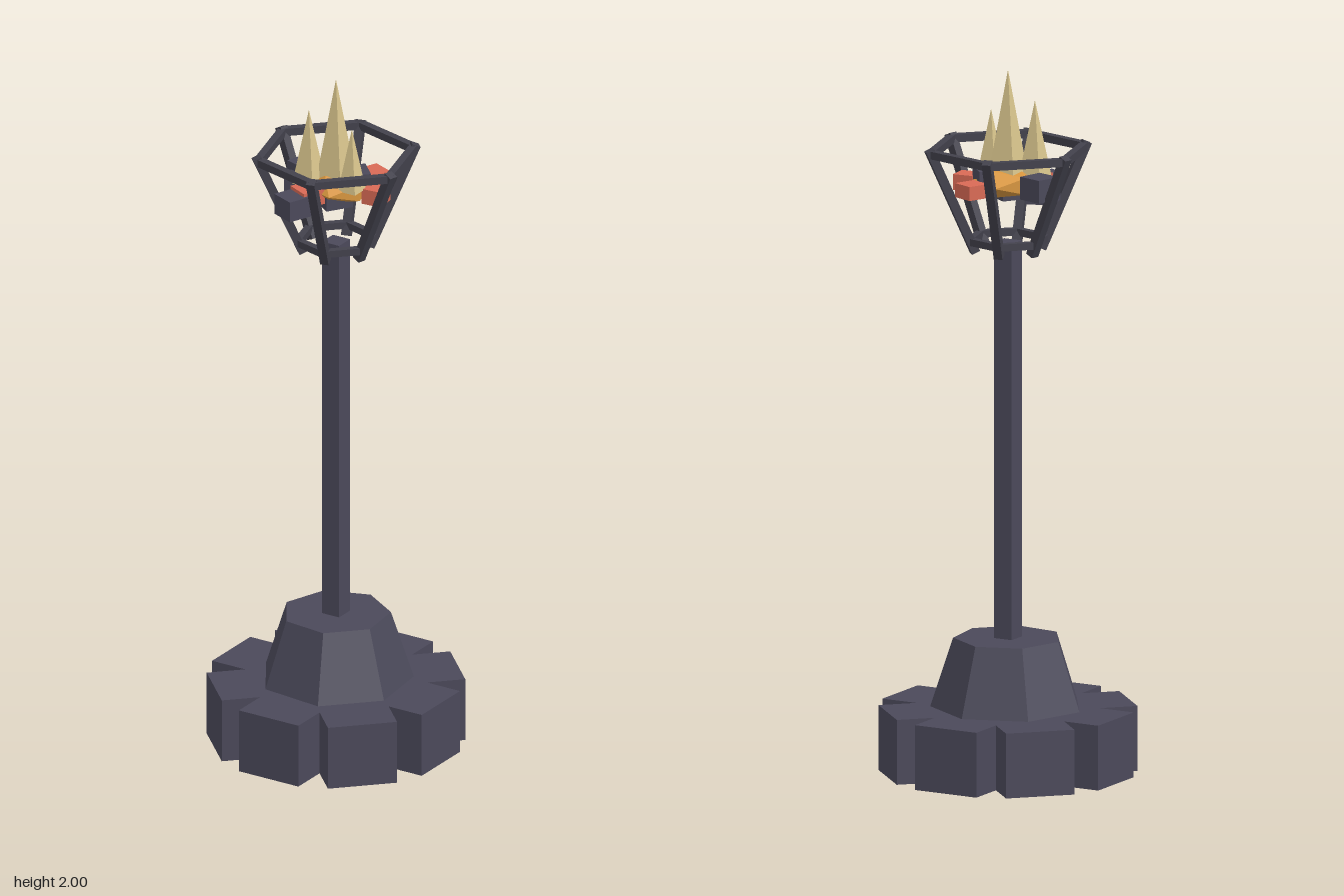
import * as THREE from 'three';

const mat = (name, color) => {
  const m = new THREE.MeshStandardMaterial({ color, flatShading: true });
  m.name = name;
  return m;
};

export function createModel() {
  const stone = mat('slate', 0x4b495a);
  const iron = mat('dark iron', 0x42414c);
  const red = mat('glowing coal', 0xd96a55);
  const orange = mat('ember orange', 0xd8963f);
  const flameMat = mat('pale flame', 0xd8c48c);
  const root = new THREE.Group();
  root.name = 'brazier';

  const add = (parent, name, geometry, material, x = 0, y = 0, z = 0) => {
    const mesh = new THREE.Mesh(geometry, material);
    mesh.name = name;
    mesh.position.set(x, y, z);
    parent.add(mesh);
    return mesh;
  };

  // Ring of eight foot blocks, open in the middle
  const base = new THREE.Group();
  base.name = 'base';
  root.add(base);
  for (let i = 0; i < 8; i++) {
    const a = i * Math.PI / 4;
    const r = 0.2235;
    add(base, 'footBlock', new THREE.BoxGeometry(0.197, 0.185, 0.247), stone,
      Math.sin(a) * r, 0.0925, Math.cos(a) * r).rotation.y = a;
  }

  // Seven-sided plinth with one corner to the back, and the square pole
  add(base, 'plinth', new THREE.CylinderGeometry(0.153, 0.217, 0.195, 7), stone, 0, 0.2825, 0)
    .rotation.y = Math.PI;
  add(root, 'pole', new THREE.CylinderGeometry(0.04, 0.04, 1.14, 4), stone, 0, 0.94, 0);

  // Hexagonal cage
  const cage = new THREE.Group();
  cage.name = 'cage';
  root.add(cage);
  const corner = (i, r, y) => {
    const a = i * Math.PI / 3;
    return new THREE.Vector3(Math.cos(a) * r, y, Math.sin(a) * r);
  };
  const bar = (name, a, b, t) => {
    const m = add(cage, name, new THREE.BoxGeometry(t, t, a.distanceTo(b)), iron);
    m.position.copy(a).add(b).multiplyScalar(0.5);
    m.lookAt(b);
  };
  for (let i = 0; i < 6; i++) {
    bar('cagePost', corner(i, 0.095, 1.485), corner(i, 0.227, 1.782), 0.025);
    bar('upperRail', corner(i, 0.221, 1.77), corner(i + 1, 0.221, 1.77), 0.022);
    bar('lowerRail', corner(i, 0.108, 1.515), corner(i + 1, 0.108, 1.515), 0.02);
  }

  // Ember heart and loose coals: material, x, y, z, width, height, turn
  const fire = new THREE.Group();
  fire.name = 'fire';
  root.add(fire);
  const ember = add(fire, 'emberHeart', new THREE.IcosahedronGeometry(0.1, 0), orange, 0.01, 1.68, 0);
  ember.scale.set(1, 0.45, 1);
  ember.rotation.y = 0.5;
  const coals = [
    [red, 0.118, 1.672, -0.05, 0.066, 0.04, 0.4],
    [red, 0.098, 1.672, 0.073, 0.06, 0.045, -0.7],
    [red, -0.088, 1.672, 0.035, 0.07, 0.045, 0.35],
    [stone, -0.062, 1.68, -0.105, 0.075, 0.065, 0.5],
    [stone, -0.085, 1.66, -0.06, 0.08, 0.06, -0.5],
    [stone, -0.135, 1.655, 0.058, 0.075, 0.06, 0.4],
    [stone, -0.01, 1.66, 0.02, 0.08, 0.06, 0.2],
  ];
  for (const [m, x, y, z, w, h, turn] of coals) {
    add(fire, 'coal', new THREE.BoxGeometry(w, h, w), m, x, y, z).rotation.y = turn;
  }
  add(fire, 'coalSliver', new THREE.BoxGeometry(0.027, 0.05, 0.075), stone, 0.078, 1.695, 0.002);

  // Four-sided flames: x, z, radius, tip height
  for (const [x, z, r, tip] of [[0, 0, 0.059, 2], [-0.075, -0.01, 0.048, 1.91], [0.03, 0.07, 0.04, 1.875]]) {
    const h = tip - 1.69;
    add(fire, 'flame', new THREE.ConeGeometry(r, h, 4), flameMat, x, 1.69 + h / 2, z);
  }
  return root;
}
